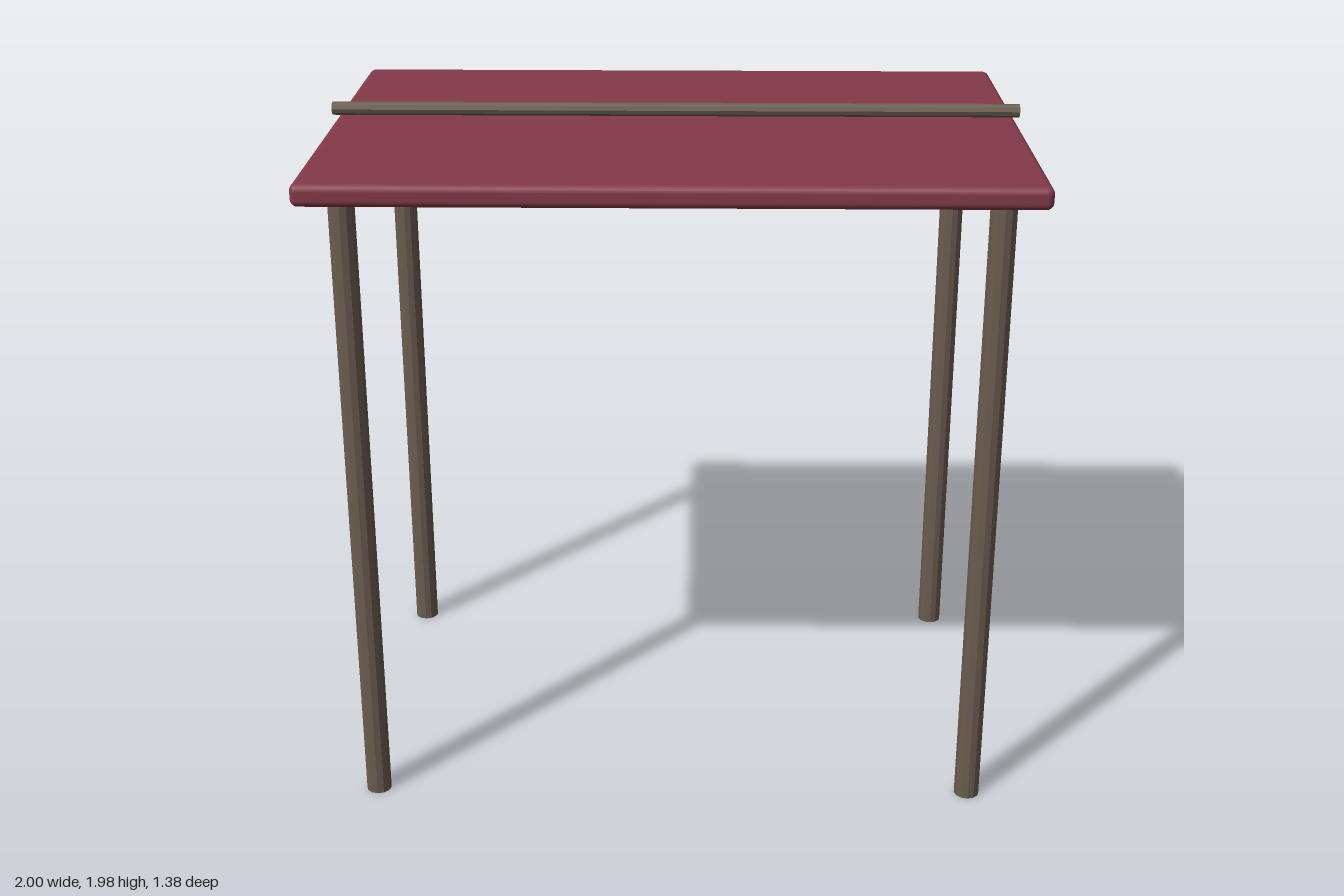
import * as THREE from 'three';
import { RoundedBoxGeometry } from 'three/addons/geometries/RoundedBoxGeometry.js';

export function createModel() {
  const model = new THREE.Group();
  model.name = 'canopy';

  const cloth = new THREE.MeshStandardMaterial({ color: 0x843a4a });
  const wood = new THREE.MeshStandardMaterial({ color: 0x6b5d50, flatShading: true });

  const add = (name, geometry, material, x, y, z) => {
    const mesh = new THREE.Mesh(geometry, material);
    mesh.name = name;
    mesh.position.set(x, y, z);
    model.add(mesh);
    return mesh;
  };

  // Four posts, stopping just short of the panel
  const postHeight = 1.836;
  const post = new THREE.CylinderGeometry(0.037, 0.037, postHeight, 12);
  for (const [side, x] of [['left', 0.889], ['right', -0.889]]) {
    for (const [end, z] of [['Front', 0.555], ['Back', -0.555]]) {
      add(`${side}${end}Post`, post, wood, x, postHeight / 2, z);
    }
  }

  // Flat panel with softly rounded edges
  add('roofPanel', new RoundedBoxGeometry(2, 0.063, 1.385, 3, 0.02), cloth, 0, 1.893, 0);

  // Rod floating along the middle, above the panel
  const rod = add('ridgeRod', new THREE.CylinderGeometry(0.0195, 0.0195, 2, 10), wood, 0, 1.961, 0);
  rod.rotation.z = Math.PI / 2;

  return model;
}
